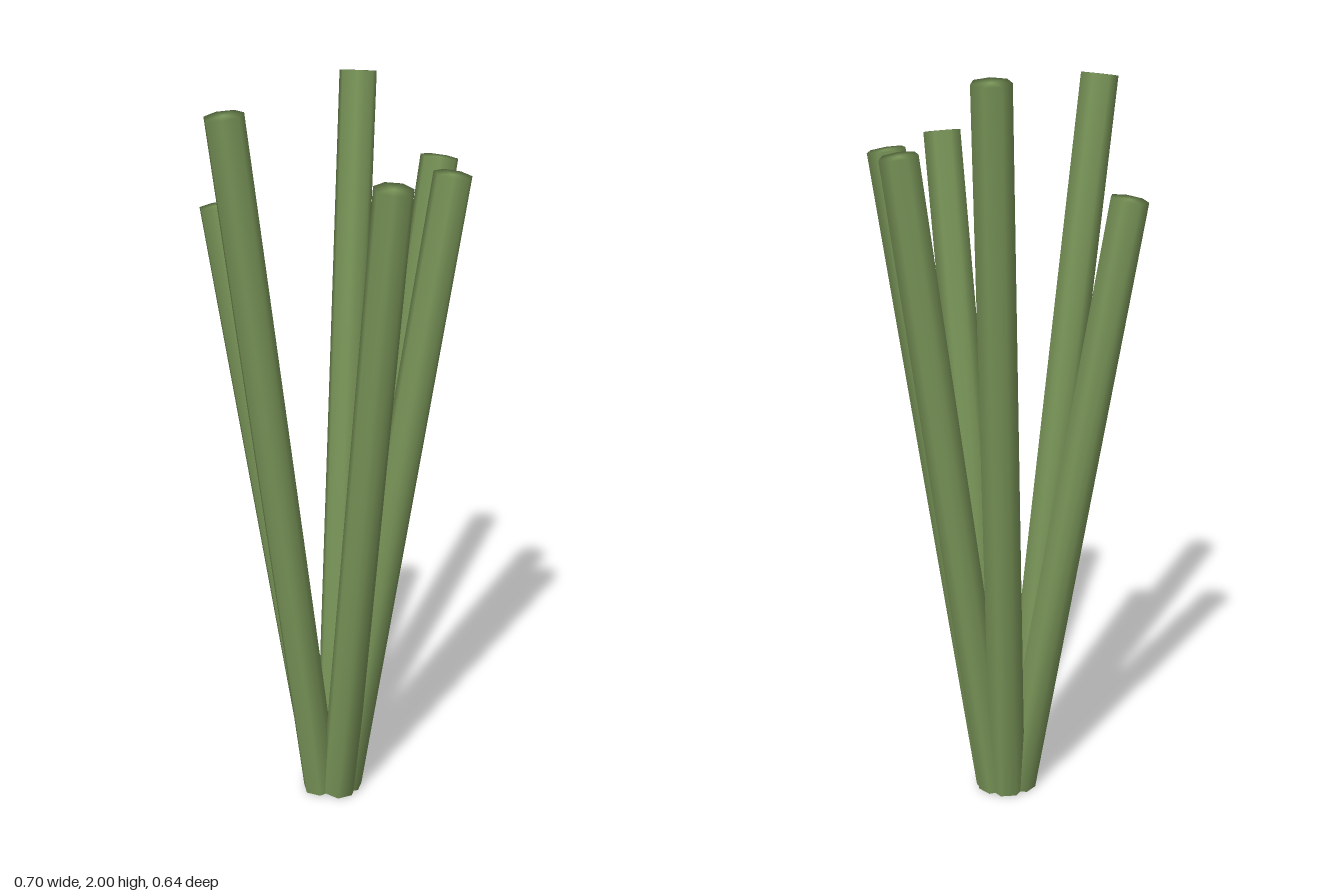
import * as THREE from 'three';
import { mergeVertices } from 'three/addons/utils/BufferGeometryUtils.js';

const RADIUS = 0.05;
const SIDES = 7;

// Base centre and tip centre of each stem
const STEMS = [
  { name: 'frontStem', base: [0.003, 0.006, 0.007], tip: [0.023, 1.807, 0.275] },
  { name: 'frontLeftStem', base: [0.03, 0.006, -0.009], tip: [0.255, 1.794, 0.133] },
  { name: 'leftStem', base: [0.035, 0.006, -0.03], tip: [0.302, 1.803, -0.031] },
  { name: 'backLeftStem', base: [0.013, 0.006, -0.057], tip: [0.183, 1.994, -0.273] },
  { name: 'backRightStem', base: [-0.023, 0.006, -0.056], tip: [-0.23, 1.684, -0.236] },
  { name: 'rightStem', base: [-0.04, 0.006, -0.024], tip: [-0.302, 1.96, 0.021] },
];

// Leaning seven-sided rod, smooth shaded across the caps too
function makeStem({ name, base, tip }, material) {
  const start = new THREE.Vector3(...base);
  const axis = new THREE.Vector3(...tip).sub(start);
  const length = axis.length();
  let geometry = new THREE.CylinderGeometry(RADIUS, RADIUS, length, SIDES);
  geometry.rotateY(Math.PI);
  geometry.translate(0, length / 2, 0);
  geometry.deleteAttribute('uv');
  geometry.deleteAttribute('normal');
  geometry = mergeVertices(geometry, 1e-4);
  geometry.computeVertexNormals();

  const stem = new THREE.Mesh(geometry, material);
  stem.name = name;
  stem.position.copy(start);
  stem.quaternion.setFromUnitVectors(new THREE.Vector3(0, 1, 0), axis.normalize());
  return stem;
}

export function createModel() {
  const group = new THREE.Group();
  group.name = 'stemCluster';
  const green = new THREE.MeshStandardMaterial({ color: 0x7a9659 });
  green.name = 'stemGreen';
  for (const spec of STEMS) group.add(makeStem(spec, green));
  return group;
}
